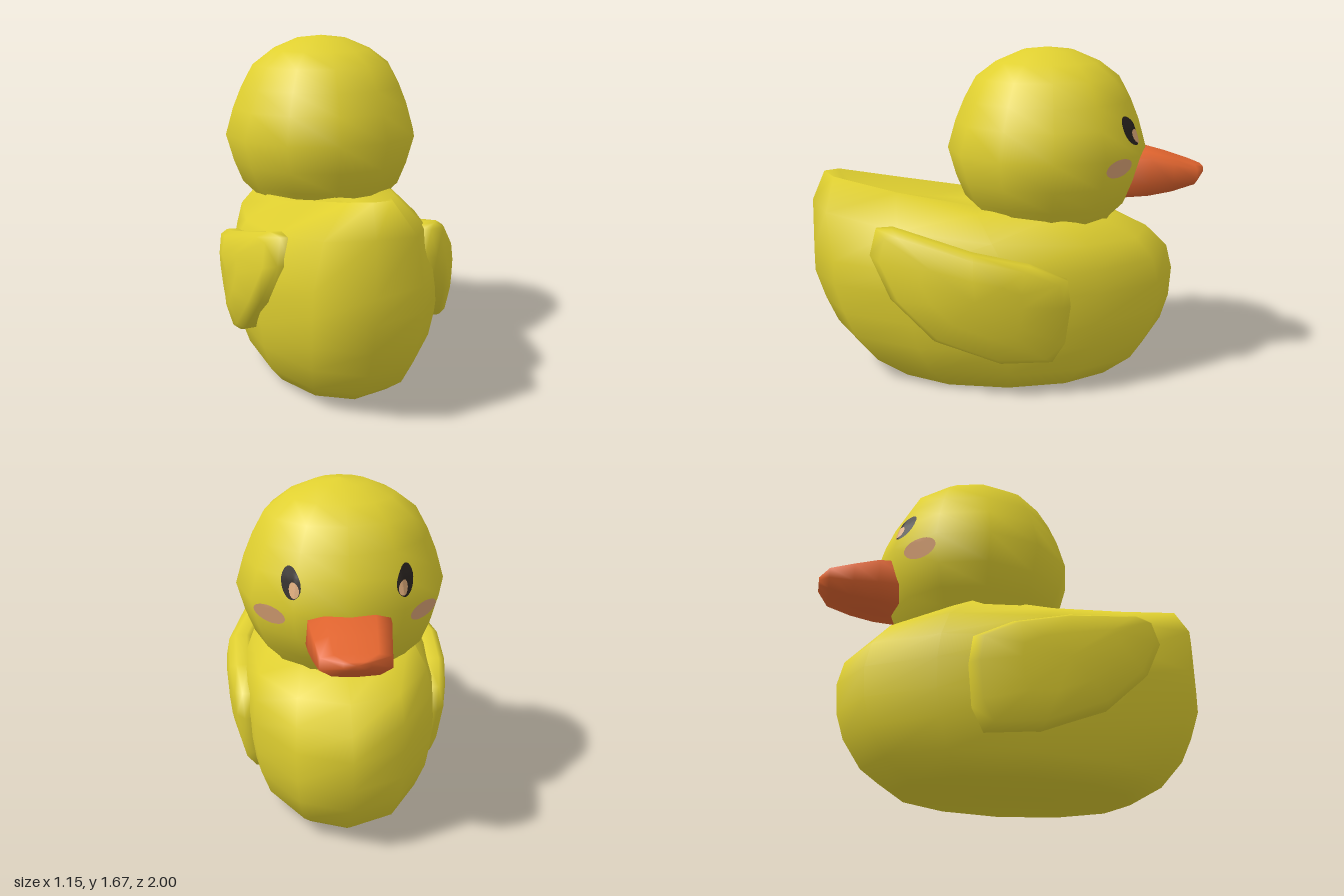
import * as THREE from 'three';

const mat = (name, color, side = THREE.FrontSide) => {
  const m = new THREE.MeshStandardMaterial({ color, side });
  m.name = name;
  return m;
};

// Skin a list of closed rings of [x, y, z] points, cap both ends and face it outwards.
function loft(rings) {
  const n = rings[0].length, pos = rings.flat(2), idx = [];
  for (let r = 0; r < rings.length - 1; r++) {
    for (let i = 0; i < n; i++) {
      const j = (i + 1) % n, a = r * n, b = a + n;
      idx.push(a + i, a + j, b + j, a + i, b + j, b + i);
    }
  }
  [0, rings.length - 1].forEach((r, end) => {
    const c = pos.length / 3;
    for (let k = 0; k < 3; k++) pos.push(rings[r].reduce((s, p) => s + p[k], 0) / n);
    for (let i = 0; i < n; i++) {
      const a = r * n + i, b = r * n + (i + 1) % n;
      idx.push(c, end ? a : b, end ? b : a);
    }
  });
  const v = (i) => new THREE.Vector3().fromArray(pos, idx[i] * 3);
  let volume = 0;
  for (let i = 0; i < idx.length; i += 3) volume += v(i).dot(v(i + 1).cross(v(i + 2)));
  if (volume < 0) idx.reverse();
  const g = new THREE.BufferGeometry();
  g.setAttribute('position', new THREE.Float32BufferAttribute(pos, 3));
  g.setIndex(idx);
  g.computeVertexNormals();
  return g;
}

// Complete a ring from its half: first and last points lie on the centre plane
const mirrorRing = (half) => [...half, ...half.slice(1, -1).reverse().map(([x, y, z]) => [-x, y, z])];

const SIDES = 12;

// Level body layers: height, front z, back z, half width
const hullLayers = [
  [0, -0.58, 0.6, 0.35], [0.1, -0.73, 0.77, 0.425], [0.24, -0.82, 0.89, 0.475],
  [0.37, -0.86, 0.95, 0.495], [0.52, -0.87, 1.0, 0.505], [0.64, -0.84, 1.0, 0.5],
];

// Upper body half-rings, from the tail round to the breast
const shoulder = [
  [0, 0.9, 0.995], [0.21, 0.88, 0.9], [0.36, 0.82, 0.53], [0.44, 0.78, 0.08],
  [0.41, 0.76, -0.38], [0.24, 0.75, -0.64], [0, 0.75, -0.73],
];
const rim = [
  [0, 1.05, 0.93], [0.1, 1.04, 0.87], [0.18, 0.975, 0.55], [0.31, 0.89, 0.15],
  [0.34, 0.89, -0.24], [0.2, 0.85, -0.46], [0, 0.84, -0.53],
];
const valley = [
  [0, 0.95, 0.82], [0.025, 0.94, 0.76], [0.035, 0.89, 0.5], [0.1, 0.88, 0.15],
  [0.1, 0.9, -0.1], [0.06, 0.88, -0.25], [0, 0.87, -0.3],
];

function hullRing([y, zf, zb, w]) {
  const half = [];
  for (let i = 0; i <= SIDES / 2; i++) {
    const t = (i / SIDES) * 2 * Math.PI, c = Math.cos(t);
    half.push([w * Math.sin(t), y, c > 0 ? zb * c : -zf * c]);
  }
  return mirrorRing(half);
}

// Head profile: radius, height
const HEAD_Z = -0.207;
const headProfile = [
  [0.3, 0.76], [0.35, 0.85], [0.42, 0.92], [0.465, 1.03], [0.505, 1.17], [0.465, 1.31],
  [0.42, 1.42], [0.36, 1.53], [0.26, 1.605], [0.13, 1.66], [0, 1.675],
];

// Point just off the faceted head, at an angle from the beak direction
function headPoint(angle, y, lift) {
  const k = headProfile.findIndex((p) => p[1] > y);
  const [r0, y0] = headProfile[k - 1], [r1, y1] = headProfile[k];
  const step = (2 * Math.PI) / SIDES;
  const local = ((angle % step) + step) % step - step / 2;
  const r = (r0 + (r1 - r0) * (y - y0) / (y1 - y0)) * Math.cos(step / 2) / Math.cos(local) + lift;
  return [r * Math.sin(angle), y, HEAD_Z - r * Math.cos(angle)];
}

// Thin slanted oval skin that follows the head
function headOval(side, angle, y, ha, hy, slant, lift) {
  const n = 24, rows = 5, pos = [], idx = [];
  for (let r = 0; r <= rows; r++) {
    for (let i = 0; i < n; i++) {
      const t = (i / n) * 2 * Math.PI, u = Math.cos(t) * r / rows, v = Math.sin(t) * r / rows;
      const [px, py, pz] = headPoint(angle + ha * u + slant * v, y + hy * v, lift);
      pos.push(side * px, py, pz);
      if (r === rows) continue;
      const a = r * n + i, b = r * n + (i + 1) % n;
      const tri = [a, a + n, b + n, a, b + n, b];
      idx.push(...(side > 0 ? tri.reverse() : tri));
    }
  }
  const g = new THREE.BufferGeometry();
  g.setAttribute('position', new THREE.Float32BufferAttribute(pos, 3));
  g.setIndex(idx);
  g.computeVertexNormals();
  return g;
}

// Wing outline: z, y
const wingOutline = [
  [0.64, 0.835], [0.56, 0.845], [0.17, 0.75], [-0.1, 0.69], [-0.28, 0.61], [-0.297, 0.48],
  [-0.275, 0.28], [-0.215, 0.172], [0.04, 0.183], [0.36, 0.31], [0.57, 0.51], [0.67, 0.71],
];

// Outer wing surface curves in towards the tail, the shoulder and the lower edge
function wingX(z, y) {
  const dz = z - 0.15, dy = y - 0.58;
  return 0.58 - (dz > 0 ? 0.6 : 0.3) * dz * dz - (dy > 0 ? 0.8 : 0.45) * dy * dy;
}

function wing(side) {
  const cz = 0.17, cy = 0.52;
  const ring = (scale, inset) => wingOutline.map(([z, y]) => {
    const pz = cz + (z - cz) * scale, py = cy + (y - cy) * scale;
    return [side * (wingX(pz, py) - inset), py, pz];
  });
  return loft([ring(0.92, 0.13), ring(0.99, 0.09), ring(1, 0.03), ring(0.9, 0.002), ring(0.5, 0)]);
}

// Beak cross-sections: z, bottom, top, half width
const beakSections = [
  [-0.5, 0.91, 1.165, 0.2], [-0.71, 0.922, 1.163, 0.19], [-0.83, 0.945, 1.13, 0.175],
  [-0.95, 0.985, 1.09, 0.158], [-1.0, 1.035, 1.075, 0.06],
];

function beakRing([z, yb, yt, w]) {
  const h = yt - yb;
  return mirrorRing([
    [0, yt, z], [0.6 * w, yt - 0.01 * h, z], [0.97 * w, yt - 0.12 * h, z],
    [w, yt - 0.65 * h, z], [0.65 * w, yb + 0.06 * h, z], [0, yb, z],
  ]);
}

export function createModel() {
  const yellow = mat('yellow', 0xe0d030);
  const orange = mat('orange', 0xe2652f);
  const black = mat('eyeBlack', 0x2a2420, THREE.DoubleSide);
  const tan = mat('eyeHighlight', 0xdba878, THREE.DoubleSide);
  const blush = mat('blush', 0xdfa678, THREE.DoubleSide);

  const model = new THREE.Group();
  model.name = 'duck';
  const add = (name, geometry, material) => {
    const mesh = new THREE.Mesh(geometry, material);
    mesh.name = name;
    model.add(mesh);
    return mesh;
  };

  add('body', loft([...hullLayers.map(hullRing), ...[shoulder, rim, valley].map(mirrorRing)]), yellow);
  const profile = headProfile.map(([r, y]) => new THREE.Vector2(r, y));
  add('head', new THREE.LatheGeometry(profile, SIDES), yellow).position.z = HEAD_Z;
  add('beak', loft(beakSections.map(beakRing)), orange);

  // Paired parts
  for (const [side, label] of [[1, 'left'], [-1, 'right']]) {
    add(label + 'Wing', wing(side), yellow);
    add(label + 'Eye', headOval(side, 0.59, 1.292, 0.115, 0.07, 0.04, 0.004), black);
    add(label + 'EyeHighlight', headOval(side, 0.535, 1.265, 0.055, 0.034, 0.015, 0.008), tan);
    add(label + 'Cheek', headOval(side, 0.83, 1.125, 0.2, 0.047, 0, 0.004), blush);
  }
  return model;
}
